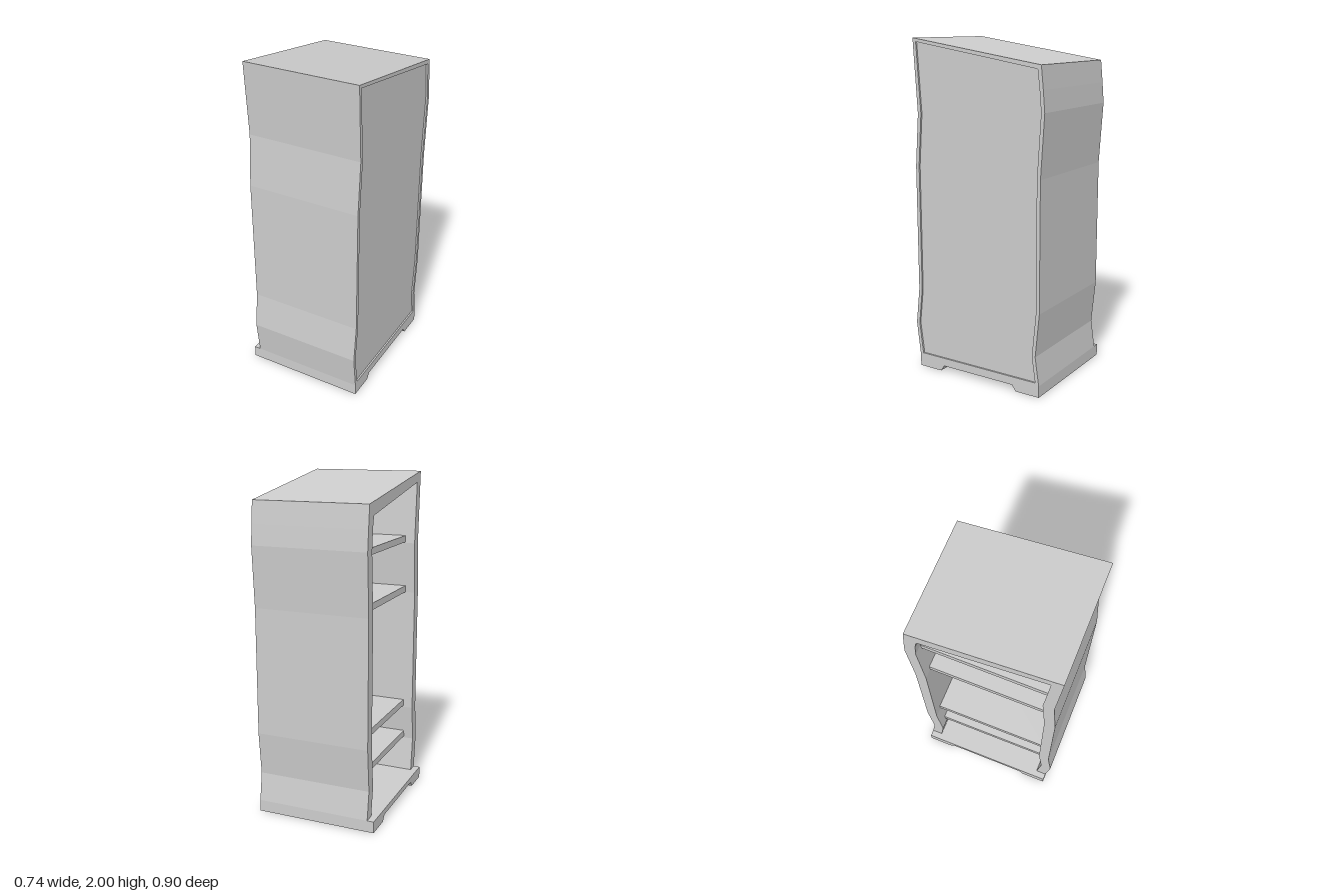
import * as THREE from 'three';

const FRONT = [[0.425, 0.07], [0.45, 0.28], [0.425, 0.5], [0.425, 1.26], [0.402, 1.57], [0.428, 2.0]];
const BACK = [[-0.425, 1.87], [-0.438, 1.74], [-0.448, 1.62], [-0.425, 1.26], [-0.425, 0.5], [-0.4, 0.24], [-0.425, 0.07]];

// Side outline (z, y) moved inwards by t, with its foot at height y0
function outline(t, y0) {
  const drop = (y) => (y > 1.8 ? y - t : Math.max(y, y0));
  return [
    ...FRONT.map(([z, y]) => [z - t, drop(y)]),
    ...BACK.map(([z, y]) => [z + t, drop(y)]),
  ];
}

// Extrudes a (z, y) profile along x from x0 to x1
function extrudeX(points, x0, x1) {
  const shape = new THREE.Shape(points.map(([z, y]) => new THREE.Vector2(z, y)));
  const geo = new THREE.ExtrudeGeometry(shape, { depth: x1 - x0, bevelEnabled: false });
  return geo.rotateY(-Math.PI / 2).translate(x1, 0, 0);
}

const mirrored = (half) => [...half, ...half.map(([z, y]) => [-z, y]).reverse()];

// Inner face position of a wall at height y
function wallZ(wall, y) {
  for (let i = 0; i < wall.length - 1; i++) {
    const [za, ya] = wall[i], [zb, yb] = wall[i + 1];
    if ((y - ya) * (y - yb) <= 0) return za + ((zb - za) * (y - ya)) / (yb - ya);
  }
  return wall[0][0];
}

export function createModel() {
  const model = new THREE.Group();
  const material = new THREE.MeshStandardMaterial({ color: 0xcccccc });
  const add = (name, geo) => {
    const mesh = new THREE.Mesh(geo, material);
    mesh.name = name;
    model.add(mesh);
    return mesh;
  };

  // Wavy front, top and back boards in one arch, thinner at the panel rebate
  const arch = (t) => [...outline(0, 0.07), ...outline(t, 0.07).reverse()];
  add('frame', extrudeX(arch(0.065), -0.33, 0.325));
  add('rebateRim', extrudeX(arch(0.022), 0.325, 0.365));

  // Panel closing the +x side, slightly recessed
  add('sidePanel', extrudeX(outline(0.022, 0.085), 0.325, 0.355));

  // Base with hollow feet, closed at both ends
  add('base', extrudeX(mirrored([
    [0.425, 0.07], [0.425, 0], [0.42, 0], [0.42, 0.06], [0.25, 0.06],
    [0.25, 0.037], [0.275, 0], [0.27, 0], [0.245, 0.035],
  ]), -0.365, 0.36));
  const endProfile = mirrored([[0.425, 0.07], [0.425, 0], [0.27, 0], [0.245, 0.035]]);
  add('baseEndRight', extrudeX(endProfile, -0.37, -0.365));
  add('baseEndLeft', extrudeX(endProfile, 0.36, 0.365));
  add('baseLip', new THREE.BoxGeometry(0.04, 0.015, 0.81).translate(0.345, 0.0775, 0));

  // Shelves set back from the open side, reaching into both boards
  for (const y of [0.29, 0.51, 1.26, 1.575]) {
    const z1 = wallZ(FRONT, y + 0.02) - 0.055;
    const z0 = wallZ(BACK, y + 0.02) + 0.055;
    add('shelf', extrudeX([[z0, y], [z1, y], [z1, y + 0.04], [z0, y + 0.04]], -0.27, 0.33));
  }
  return model;
}
